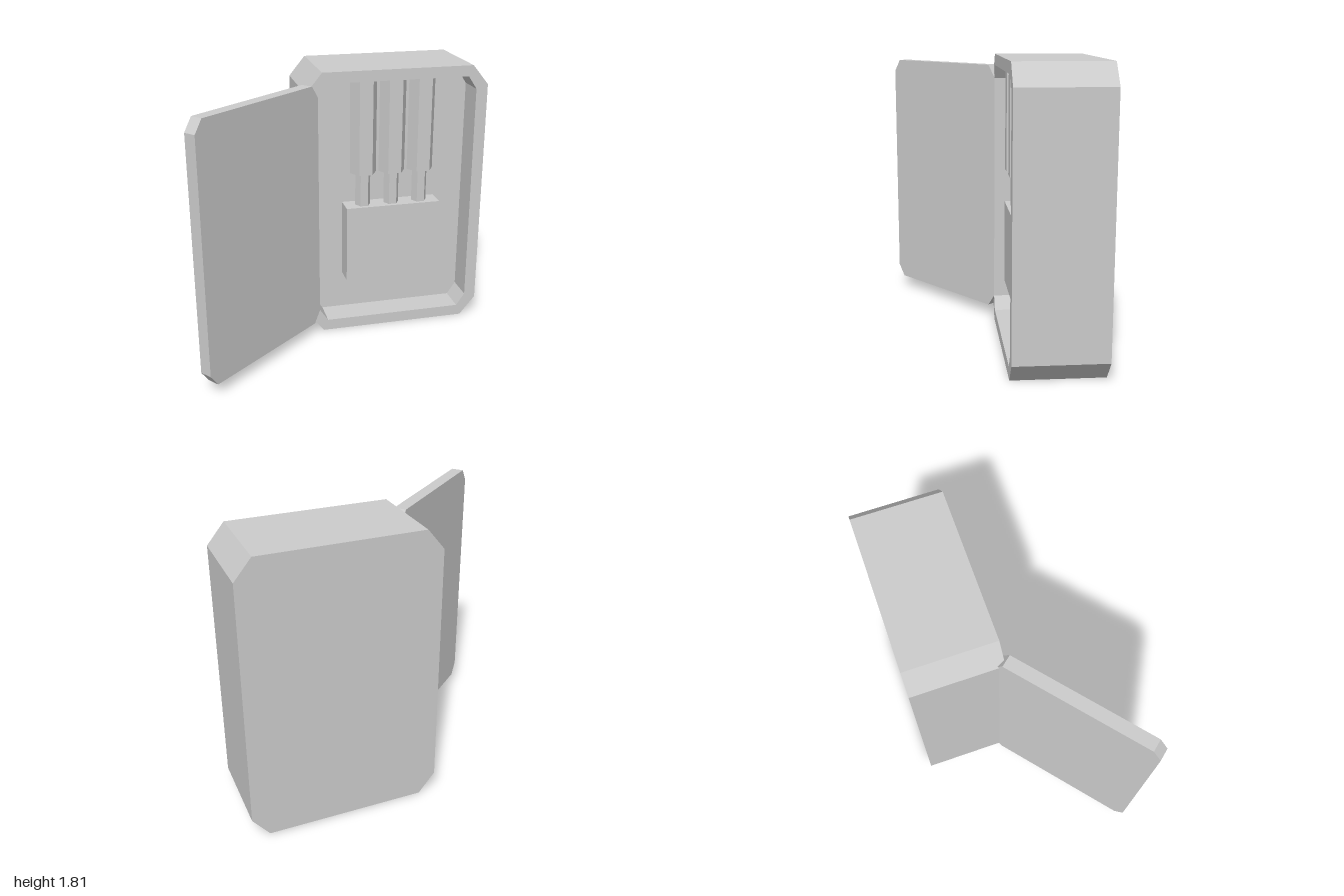
import * as THREE from 'three';

const material = new THREE.MeshStandardMaterial({ color: 0xcccccc, flatShading: true });

// Corner points of a rectangle with cut corners
function cutRect(x0, x1, y0, y1, cx, cy) {
  return [
    [x0 + cx, y0], [x1 - cx, y0], [x1, y0 + cy], [x1, y1 - cy],
    [x1 - cx, y1], [x0 + cx, y1], [x0, y1 - cy], [x0, y0 + cy],
  ].map(([x, y]) => new THREE.Vector2(x, y));
}

function slab(points, z0, z1, hole) {
  const shape = new THREE.Shape(points);
  if (hole) shape.holes.push(new THREE.Path(hole));
  return new THREE.ExtrudeGeometry(shape, { depth: z1 - z0, bevelEnabled: false }).translate(0, 0, z0);
}

function add(parent, name, geometry, x = 0, y = 0, z = 0) {
  const mesh = new THREE.Mesh(geometry, material);
  mesh.name = name;
  mesh.position.set(x, y, z);
  parent.add(mesh);
  return mesh;
}

export function createModel() {
  const model = new THREE.Group();
  model.name = 'electricalBox';

  const front = -0.05, recess = -0.24, back = -0.617;
  const outer = cutRect(-0.215, 1, 0, 1.81, 0.106, 0.13);
  const opening = cutRect(-0.137, 0.922, 0.075, 1.738, 0.057, 0.085);

  // Cabinet: solid rear body with a rim around the shallow recess
  add(model, 'cabinetBody', slab(outer, back, recess));
  add(model, 'cabinetRim', slab(outer, recess, front, opening));

  // Door swung open about the inner edge of the rim
  const door = new THREE.Group();
  door.name = 'door';
  door.position.set(-0.137, 0, front);
  door.rotation.y = THREE.MathUtils.degToRad(39.6);
  add(door, 'doorPanel', slab(cutRect(-1.053, 0, 0.08, 1.735, 0.057, 0.08), -0.08, 0));
  model.add(door);

  // Terminal block
  add(model, 'terminalBlock', new THREE.BoxGeometry(0.655, 0.53, 0.14), 0.392, 0.605, -0.17);

  // Hexagonal cables with thinner ends entering the block
  const hexRod = (r, h) => new THREE.CylinderGeometry(r, r, h, 6).rotateY(Math.PI / 6 + Math.PI / 3);
  for (let i = 0; i < 3; i++) {
    const x = 0.192 + i * 0.199;
    add(model, `cable${i + 1}`, hexRod(0.09, 0.64), x, 1.418, -0.172);
    add(model, `cableEnd${i + 1}`, hexRod(0.052, 0.24), x, 0.98, -0.172);
  }
  return model;
}
